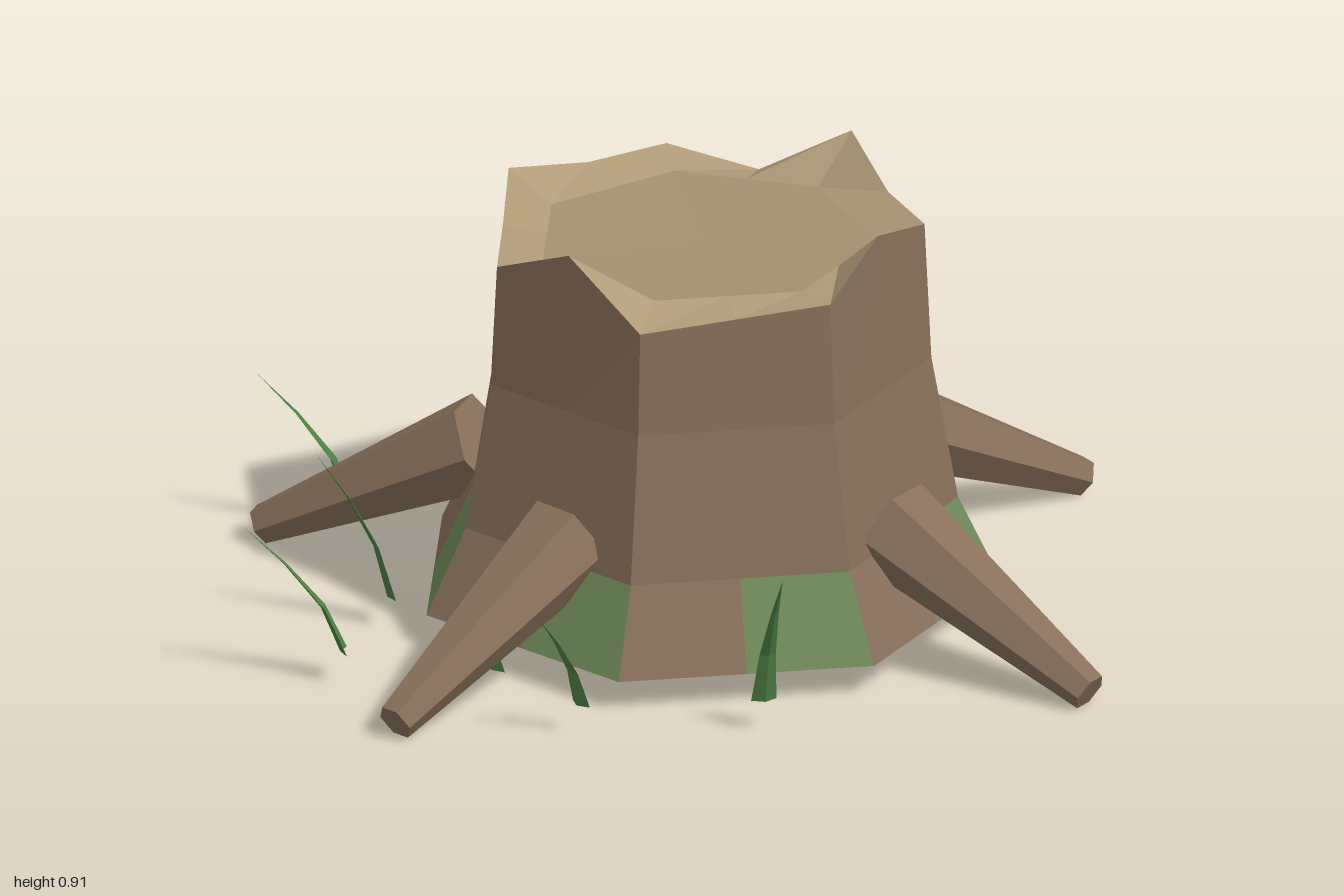
import * as THREE from 'three';

const mat = (name, color, side = THREE.FrontSide) => {
  const m = new THREE.MeshStandardMaterial({ color, flatShading: true, side });
  m.name = name;
  return m;
};

function meshFrom(name, positions, material) {
  const g = new THREE.BufferGeometry();
  g.setAttribute('position', new THREE.Float32BufferAttribute(positions, 3));
  g.computeVertexNormals();
  const m = new THREE.Mesh(g, material);
  m.name = name;
  return m;
}

const addQuad = (out, a, b, c, d) => out.push(...a, ...b, ...c, ...a, ...c, ...d);

export function createModel() {
  const group = new THREE.Group();
  group.name = 'treeStump';
  const bark = mat('bark', 0x88705b, THREE.DoubleSide);
  const moss = mat('moss', 0x708a5a, THREE.DoubleSide);
  const rimWood = mat('rimWood', 0xb09b78, THREE.DoubleSide);
  const cutWood = mat('cutWood', 0xa4916f, THREE.DoubleSide);
  const grass = mat('grass', 0x4d8044, THREE.DoubleSide);

  // Seven-sided ring with a middle point on every side; height may vary per point
  const CX = 0.036, CZ = 0.054, N = 14;
  const ring = (r, y) => Array.from({ length: N }, (_, i) => {
    const rr = i % 2 ? r * Math.cos(Math.PI / 7) : r;
    const a = Math.PI - (i * Math.PI * 2) / N;
    return [CX + rr * Math.cos(a), Array.isArray(y) ? y[i] : y, CZ + rr * Math.sin(a)];
  });

  // Trunk: flared open shell with a jagged top edge and moss patches at the foot
  const rimHeights = [0.83, 0.91, 0.79, 0.81, 0.83, 0.91, 0.865, 0.86, 0.92, 0.81, 0.845, 0.85, 0.885, 0.84];
  const rings = [ring(0.612, 0.08), ring(0.525, 0.26), ring(0.47, 0.57), ring(0.456, rimHeights)];
  const mossy = new Set([1, 3, 5, 6, 9, 10, 11, 13]);
  const barkPos = [], mossPos = [];
  for (let k = 0; k < rings.length - 1; k++) {
    for (let i = 0; i < N; i++) {
      const j = (i + 1) % N;
      const out = k === 0 && mossy.has(i) ? mossPos : barkPos;
      addQuad(out, rings[k][i], rings[k][j], rings[k + 1][j], rings[k + 1][i]);
    }
  }
  group.add(meshFrom('trunk', barkPos, bark), meshFrom('mossPatches', mossPos, moss));

  // Cut top: splintered rim sloping into a shallow dish
  const inner = ring(0.355, 0.825), outer = rings[3];
  const rimPos = [], cutPos = [];
  for (let i = 0; i < N; i++) {
    const j = (i + 1) % N;
    addQuad(rimPos, outer[i], outer[j], inner[j], inner[i]);
    cutPos.push(...inner[i], ...inner[j], CX, 0.815, CZ);
  }
  group.add(meshFrom('cutRim', rimPos, rimWood), meshFrom('cutSurface', cutPos, cutWood));

  // Roots: tapered six-sided cylinders, thick end buried in the trunk
  const roots = [
    [[-0.35, 0.3, 0.275], [-0.82, 0.045, 0.48]],
    [[0.29, 0.3, 0.45], [0.56, 0.045, 0.87]],
    [[0.47, 0.3, -0.1], [0.98, 0.045, -0.2]],
    [[0.18, 0.3, -0.42], [0.295, 0.045, -0.88]],
    [[-0.32, 0.3, -0.27], [-0.675, 0.045, -0.6]],
  ];
  for (const [from, to] of roots) {
    const a = new THREE.Vector3(...from), b = new THREE.Vector3(...to);
    const m = new THREE.Mesh(new THREE.CylinderGeometry(0.042, 0.105, a.distanceTo(b), 6), bark);
    m.name = 'root';
    m.position.copy(a).add(b).multiplyScalar(0.5);
    // Basis keeps one flat facet facing upward
    const y = b.clone().sub(a).normalize();
    const x = new THREE.Vector3(0, 1, 0).cross(y).normalize();
    m.quaternion.setFromRotationMatrix(new THREE.Matrix4().makeBasis(x, y, x.clone().cross(y)));
    m.rotateY(Math.PI / 6);
    group.add(m);
  }

  // Grass blades: creased strips that bend outwards towards the tip
  const blades = [
    [[-0.105, 0.73], [-0.12, 0.4, 0.87]],
    [[-0.8, 0.17], [-1, 0.36, 0.09]],
    [[-0.6, -0.065], [-0.76, 0.41, -0.1]],
    [[-0.46, 0.61], [-0.57, 0.3, 0.645]],
    [[0.04, -0.48], [0.065, 0.34, -0.575]],
    [[-0.49, -0.545], [-0.665, 0.36, -0.65]],
    [[0.49, -0.16], [0.5, 0.3, -0.21]],
    [[-0.55, 0.37], [-0.6, 0.21, 0.385]],
  ];
  for (const [[bx, bz], [tx, ty, tz]] of blades) {
    const len = Math.hypot(tx - bx, tz - bz);
    const dx = (tx - bx) / len, dz = (tz - bz) / len;
    const rows = [0, 0.35, 0.7, 1].map((t) => {
      const s = len * Math.pow(t, 1.5), w = 0.027 * (1 - t), y = 0.08 + (ty - 0.08) * t;
      const point = (side, fold) => [
        bx + dx * (s + fold) - dz * side, y, bz + dz * (s + fold) + dx * side,
      ];
      return [point(-w, 0), point(0, w * 0.5), point(w, 0)];
    });
    const pos = [];
    for (let k = 0; k < 3; k++) {
      for (let c = 0; c < 2; c++) {
        addQuad(pos, rows[k][c + 1], rows[k][c], rows[k + 1][c], rows[k + 1][c + 1]);
      }
    }
    group.add(meshFrom('grassBlade', pos, grass));
  }
  return group;
}
